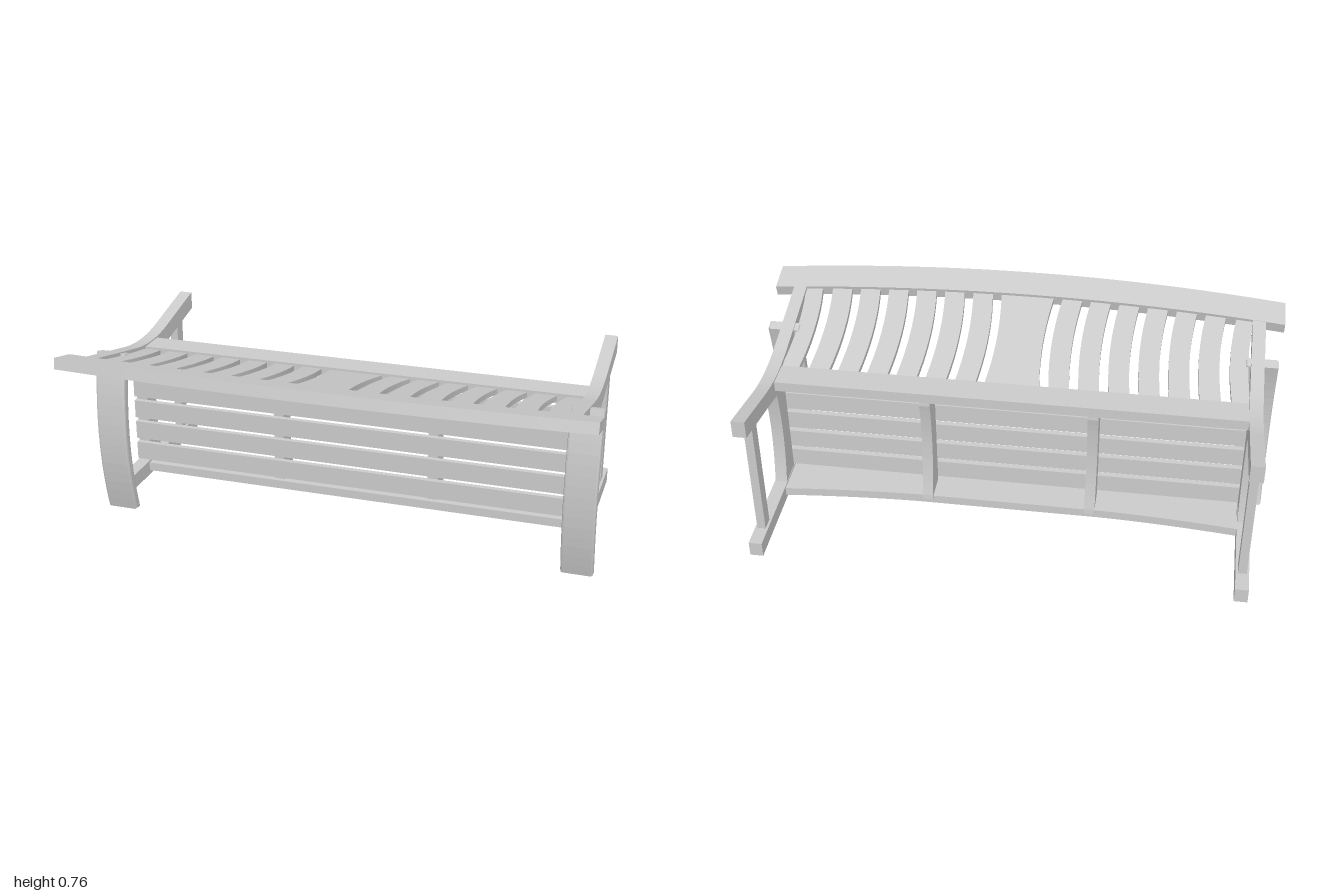
import * as THREE from 'three';

const material = new THREE.MeshStandardMaterial({ color: 0xcccccc });
const LEG_X = 0.903, LEG_W = 0.05;      // end frames
const TILT = Math.atan(0.2335);         // slope of the backrest

export function createModel() {
  const group = new THREE.Group();

  const add = (name, geometry, parent = group) => {
    const mesh = new THREE.Mesh(geometry, material);
    mesh.name = name;
    parent.add(mesh);
    return mesh;
  };

  // Box given by its limits
  const box = (name, x0, x1, y0, y1, z0, z1) => {
    const mesh = add(name, new THREE.BoxGeometry(x1 - x0, y1 - y0, z1 - z0));
    mesh.position.set((x0 + x1) / 2, (y0 + y1) / 2, (z0 + z1) / 2);
  };

  // Outline in (z, y), extruded across x and centred on x
  const sidePiece = (name, shape, x, width, bevel = 0) => {
    const geometry = new THREE.ExtrudeGeometry(shape, {
      depth: width - 2 * bevel, curveSegments: 16, bevelEnabled: bevel > 0,
      bevelSize: bevel, bevelThickness: bevel, bevelOffset: -bevel, bevelSegments: 2,
    });
    geometry.translate(0, 0, bevel - width / 2);
    geometry.rotateY(-Math.PI / 2);
    add(name, geometry).position.x = x;
  };

  // Back post running on into the rear leg
  const post = new THREE.Shape();
  post.moveTo(0.37, 0.7245);
  post.lineTo(0.02, 0.643);
  post.bezierCurveTo(-0.07, 0.624, -0.16, 0.62, -0.265, 0.642);
  post.lineTo(-0.527, 0.702);
  post.lineTo(-0.527, 0.634);
  post.lineTo(-0.15, 0.55);
  post.lineTo(-0.03, 0.577);
  post.lineTo(0.37, 0.682);

  // Seat bearer with a hollowed underside
  const bearer = new THREE.Shape();
  bearer.moveTo(-0.05, 0.11);
  bearer.lineTo(-0.05, 0.585);
  bearer.lineTo(-0.15, 0.585);
  bearer.lineTo(-0.152, 0.555);
  bearer.quadraticCurveTo(-0.108, 0.345, -0.158, 0.13);
  bearer.lineTo(-0.16, 0.11);

  // Bowed armrest
  const arm = new THREE.Shape();
  arm.moveTo(0.113, 0);
  arm.quadraticCurveTo(0.207, 0.335, 0.122, 0.661);
  arm.lineTo(0.16, 0.672);
  arm.quadraticCurveTo(0.244, 0.34, 0.15, 0);

  for (const [side, s] of [['left', 1], ['right', -1]]) {
    const x = s * LEG_X;
    sidePiece(side + 'BackPost', post, x, LEG_W);
    sidePiece(side + 'EndBearer', bearer, x, LEG_W - 0.004);
    sidePiece(side + 'MiddleBearer', bearer, s * 0.315, 0.04);
    sidePiece(side + 'Armrest', arm, s * 0.919, 0.122, 0.008);
    box(side + 'FrontLeg', x - LEG_W / 2, x + LEG_W / 2, 0.073, 0.132, -0.527, 0.14);
    box(side + 'Stretcher', x - 0.016, x + 0.016, 0.125, 0.62, -0.44, -0.388);
  }

  // Seat slats
  for (let i = 0; i < 5; i++) {
    const y = 0.14 + i * 0.0914;
    box('seatSlat', -0.926, 0.926, y, y + 0.073, -0.05, -0.028);
  }

  // Lower back rail
  box('lowerBackRail', -0.882, 0.882, 0.583, 0.622, -0.17, -0.06);

  // Front apron with an arched lower edge
  const apron = new THREE.Shape();
  apron.moveTo(-0.882, 0.03);
  apron.lineTo(0.882, 0.03);
  apron.lineTo(0.882, 0.19);
  apron.quadraticCurveTo(0.6, 0.16, 0.35, 0.155);
  apron.lineTo(-0.35, 0.155);
  apron.quadraticCurveTo(-0.6, 0.16, -0.882, 0.19);
  const apronGeometry = new THREE.ExtrudeGeometry(apron, { depth: 0.034, bevelEnabled: false });
  add('frontApron', apronGeometry.rotateX(-Math.PI / 2)).position.y = 0.091;

  // Backrest, drawn flat in (x, up the back) and then tilted
  const back = new THREE.Group();
  back.name = 'backrest';
  back.position.y = 0.617;
  back.rotation.x = Math.PI / 2 - TILT;
  group.add(back);
  const flatPiece = (name, shape, thickness) => {
    const geometry = new THREE.ExtrudeGeometry(shape, {
      depth: thickness, curveSegments: 20, bevelEnabled: false,
    });
    add(name, geometry.translate(0, 0, -thickness / 2), back);
  };

  // Curved top rail
  const rail = new THREE.Shape();
  rail.moveTo(-1, 0.35);
  rail.quadraticCurveTo(0, 0.47, 1, 0.35);
  rail.lineTo(1, 0.467);
  rail.quadraticCurveTo(0, 0.601, -1, 0.467);
  flatPiece('topRail', rail, 0.043);

  // Back slats, bowed towards the middle
  const bow = 0.032;
  const slat = (name, x0, x1, bow0, bow1) => {
    const xm = (x0 + x1) / 2;
    const top = 0.42 - 0.06 * xm * xm;
    const shape = new THREE.Shape();
    shape.moveTo(x0, -0.07);
    shape.lineTo(x1, -0.07);
    shape.quadraticCurveTo(x1 + bow1, 0.17, x1, top);
    shape.lineTo(x0, top);
    shape.quadraticCurveTo(x0 + bow0, 0.17, x0, -0.07);
    flatPiece(name, shape, 0.02);
  };
  slat('centreSplat', -0.105, 0.105, bow, -bow);
  for (const s of [1, -1]) {
    for (let i = 0; i < 7; i++) {
      const x = s * (0.178 + i * 0.112);
      const half = i === 6 ? 0.034 : 0.039;
      slat('backSlat', x - half, x + half, -s * bow, -s * bow);
    }
  }

  return group;
}
